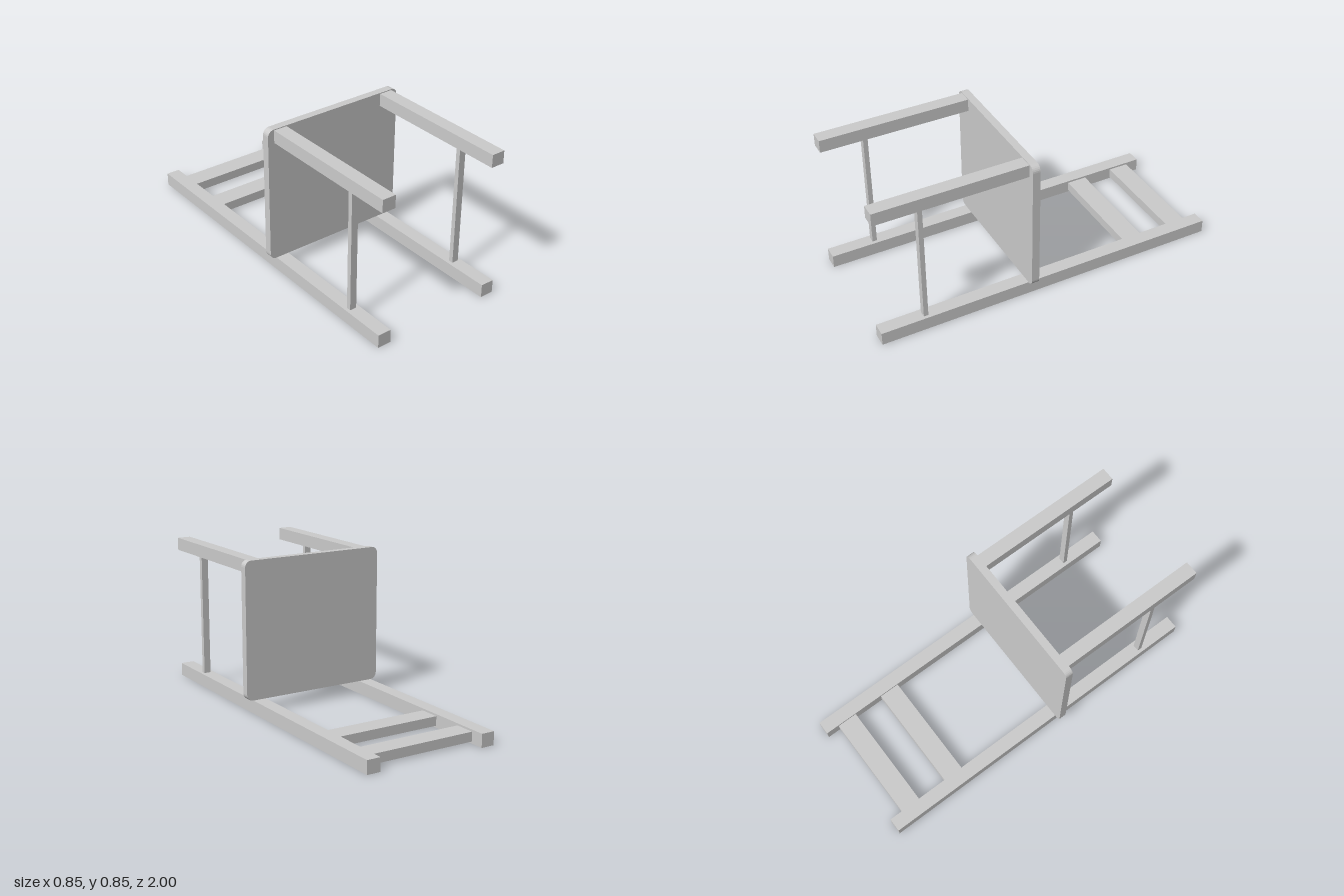
import * as THREE from 'three';

const material = new THREE.MeshStandardMaterial({ color: 0xcccccc });

// Box given by its lower and upper limits on each axis
function bar(name, [x0, x1], [y0, y1], [z0, z1]) {
  const mesh = new THREE.Mesh(new THREE.BoxGeometry(x1 - x0, y1 - y0, z1 - z0), material);
  mesh.position.set((x0 + x1) / 2, (y0 + y1) / 2, (z0 + z1) / 2);
  mesh.name = name;
  return mesh;
}

// Flat panel with softened corners
function seatPanel() {
  const w = 0.427, y0 = 0.075, y1 = 0.854, r = 0.036;
  const shape = new THREE.Shape();
  shape.moveTo(-w + r, y0);
  shape.lineTo(w - r, y0);
  shape.absarc(w - r, y0 + r, r, -Math.PI / 2, 0);
  shape.lineTo(w, y1 - r);
  shape.absarc(w - r, y1 - r, r, 0, Math.PI / 2);
  shape.lineTo(-w + r, y1);
  shape.absarc(-w + r, y1 - r, r, Math.PI / 2, Math.PI);
  shape.lineTo(-w, y0 + r);
  shape.absarc(-w + r, y0 + r, r, Math.PI, Math.PI * 1.5);
  const geometry = new THREE.ExtrudeGeometry(shape, { depth: 0.044, bevelEnabled: false, curveSegments: 3 });
  geometry.translate(0, 0, 0.099);
  const mesh = new THREE.Mesh(geometry, material);
  mesh.name = 'seat';
  return mesh;
}

export function createModel() {
  const chair = new THREE.Group();
  chair.name = 'chairLyingOnItsBack';
  chair.add(seatPanel());

  // Legs and side stretchers, mirrored
  for (const [side, s] of [['left', 1], ['right', -1]]) {
    const span = (a, b) => (s > 0 ? [a, b] : [-b, -a]);
    chair.add(
      bar(side + 'RearLeg', span(0.311, 0.389), [0, 0.075], [-1, 1]),
      bar(side + 'FrontLeg', span(0.311, 0.389), [0.777, 0.849], [0.143, 1]),
      bar(side + 'Stretcher', span(0.331, 0.37), [0.075, 0.777], [0.728, 0.754])
    );
  }

  // Backrest slats
  chair.add(
    bar('upperBackSlat', [-0.311, 0.311], [0.011, 0.064], [-0.922, -0.804]),
    bar('lowerBackSlat', [-0.311, 0.311], [0.011, 0.064], [-0.627, -0.509])
  );
  return chair;
}
